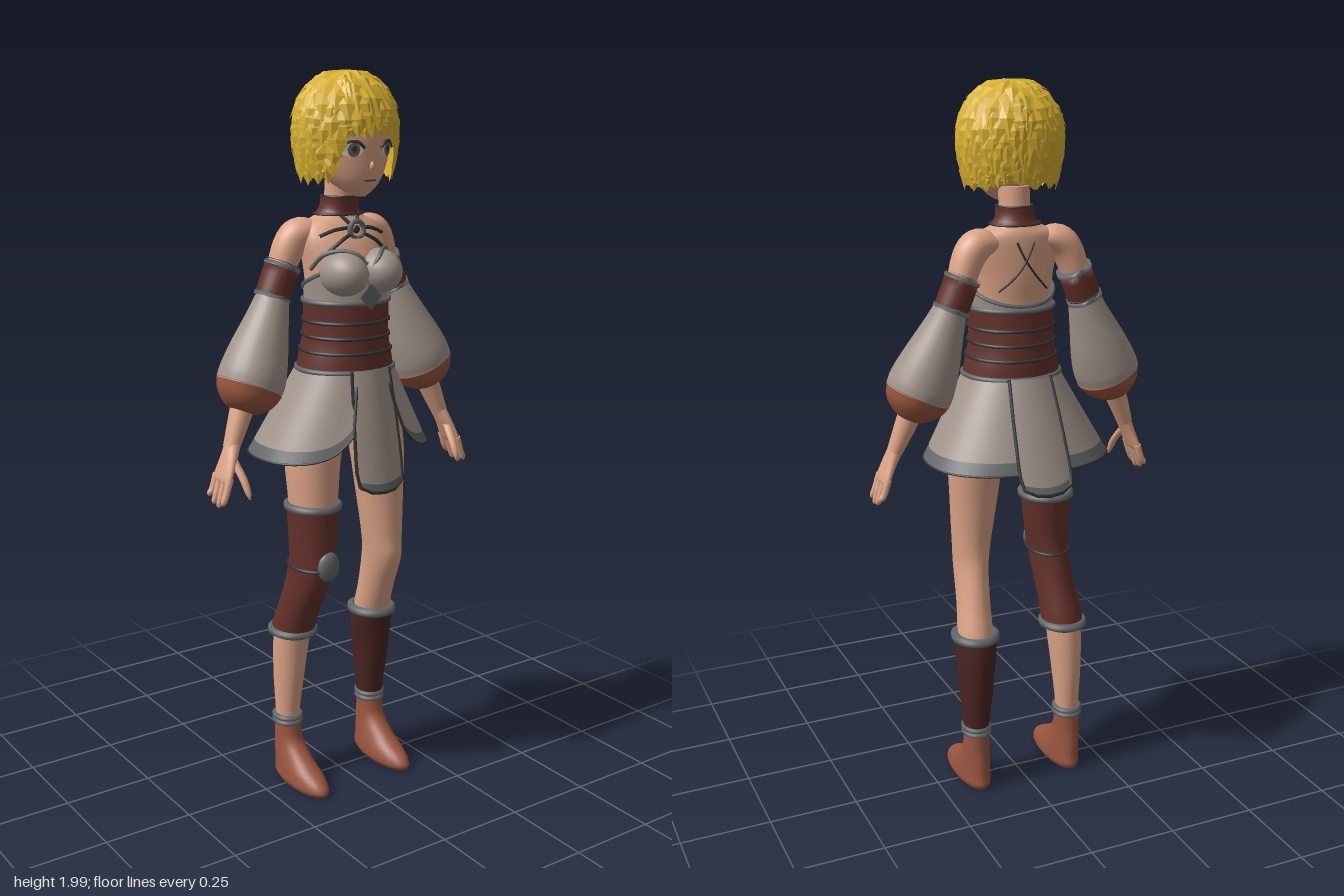
import * as THREE from 'three';
import { ParametricGeometry } from 'three/addons/geometries/ParametricGeometry.js';

const mat = (name, color, flatShading = false) =>
  new THREE.MeshStandardMaterial({ name, color, flatShading, side: THREE.DoubleSide });
const M = {
  skin: mat('skin', 0xdca386), cloth: mat('taupe cloth', 0xa0938a), hair: mat('golden hair', 0xd8b030, true),
  leather: mat('brown leather', 0x63312a), boot: mat('dark boot leather', 0x4a2522), shoe: mat('tan leather', 0x9a5640),
  trim: mat('grey trim', 0x65686a), line: mat('dark edging', 0x353334), white: mat('eye white', 0xd2c6c4), iris: mat('iris', 0x6a5750),
};
const V = (x, y, z) => new THREE.Vector3(x, y, z);

// Sections are [x, y, z, radiusX, radiusZ]; returns a smooth interpolator over t = 0..1.
function smooth(secs) {
  const c = new THREE.CatmullRomCurve3(secs.map(s => V(s[0], s[1], s[2])), false, 'catmullrom');
  const r = new THREE.CatmullRomCurve3(secs.map(s => V(s[3], s[4], 0)), false, 'catmullrom');
  return t => { const p = c.getPoint(t), q = r.getPoint(t); return [p.x, p.y, p.z, q.x, q.y]; };
}
function at(secs, y) {
  const f = smooth(secs);
  let best = f(0);
  for (let i = 1; i <= 160; i++) { const s = f(i / 160); if (Math.abs(s[1] - y) < Math.abs(best[1] - y)) best = s; }
  return best;
}
// Point on the front (sign 1) or back (sign -1) of a lofted body.
function onBody(secs, x, y, sign = 1, lift = 0.004) {
  const s = at(secs, y), k = (x - s[0]) / s[3];
  return V(x, y, s[2] + sign * (s[4] * Math.sqrt(Math.max(0, 1 - k * k)) + lift));
}
const shell = (secs, y0, y1, p0, p1, n = 6) => Array.from({ length: n }, (_, i) => {
  const t = i / (n - 1), s = at(secs, y0 + (y1 - y0) * t), p = p0 + (p1 - p0) * t;
  return [s[0], y0 + (y1 - y0) * t, s[2], s[3] + p, s[4] + p];
});

export function createModel() {
  const root = new THREE.Group();
  root.name = 'character';
  const add = (name, m, geo) => {
    const mesh = new THREE.Mesh(geo, m);
    mesh.name = name;
    root.add(mesh);
    return mesh;
  };
  const tube = (name, m, pts, r, closed = false) =>
    add(name, m, new THREE.TubeGeometry(new THREE.CatmullRomCurve3(pts, closed), closed ? 40 : 20, r, 6, closed));
  const sheet = (name, m, fn, nu, nv) => {
    const g = new ParametricGeometry((u, v, t) => t.copy(fn(u, v)), nu, nv);
    g.computeVertexNormals();
    return add(name, m, g);
  };
  // Elliptical loft with flat caps; tilt turns the rings across the path.
  const loft = (name, m, secs, { tilt = false, steps = 24, n = 28 } = {}) => {
    const f = smooth(secs), pos = [], idx = [];
    for (let i = 0; i <= steps; i++) {
      const s = f(i / steps), a = f(Math.max(0, i / steps - 0.01)), b = f(Math.min(1, i / steps + 0.01));
      const t = V(b[0] - a[0], b[1] - a[1], b[2] - a[2]);
      if (!tilt) t.set(0, Math.sign(t.y) || 1, 0);
      t.normalize();
      const u = V(t.y, -t.x, 0).normalize(), w = u.clone().cross(t);
      for (let j = 0; j < n; j++) {
        const q = j / n * Math.PI * 2;
        pos.push(...V(s[0], s[1], s[2]).addScaledVector(u, s[3] * Math.cos(q)).addScaledVector(w, s[4] * Math.sin(q)).toArray());
        if (i < steps) {
          const A = i * n + j, B = i * n + (j + 1) % n;
          idx.push(A, A + n, B, B, A + n, B + n);
        }
      }
    }
    for (const end of [0, 1]) {
      const base = pos.length / 3, from = end * steps * n * 3;
      pos.push(...pos.slice(from, from + n * 3), ...f(end).slice(0, 3));
      for (let j = 0; j < n; j++) {
        const A = base + j, B = base + (j + 1) % n;
        idx.push(...(end ? [base + n, B, A] : [base + n, A, B]));
      }
    }
    const g = new THREE.BufferGeometry();
    g.setAttribute('position', new THREE.Float32BufferAttribute(pos, 3));
    g.setIndex(idx);
    g.computeVertexNormals();
    return add(name, m, g);
  };
  const ring = (name, m, secs, y, pad, r) => {
    const s = at(secs, y);
    return tube(name, m, Array.from({ length: 16 }, (_, i) => {
      const a = i / 8 * Math.PI;
      return V(s[0] + (s[3] + pad) * Math.cos(a), y, s[2] + (s[4] + pad) * Math.sin(a));
    }), r, true);
  };
  const ball = (name, m, p, r) => {
    const mesh = add(name, m, new THREE.SphereGeometry(1, 24, 16));
    mesh.position.set(...p);
    mesh.scale.set(...r);
    return mesh;
  };

  // Torso, bodice and corset
  const torso = [[0, 1.1, 0.03, 0.13, 0.1], [0, 1.2, 0.03, 0.128, 0.115], [0, 1.3, 0.032, 0.108, 0.108], [0, 1.4, 0.035, 0.11, 0.1],
    [0, 1.48, 0.028, 0.115, 0.097], [0, 1.55, 0.015, 0.125, 0.083], [0, 1.595, 0.002, 0.115, 0.066],
    [0, 1.62, 0, 0.065, 0.052], [0, 1.65, 0.005, 0.043, 0.044], [0, 1.72, 0.012, 0.042, 0.044]];
  loft('torso', M.skin, torso, { steps: 40 });
  loft('underwear', M.cloth, [[0, 1.03, 0.03, 0.05, 0.06], [0, 1.08, 0.03, 0.13, 0.1], [0, 1.2, 0.03, 0.13, 0.116]]);
  const bodiceTop = a => 1.455 + 0.045 * Math.cos(a);
  const bodice = (u, v) => {
    const a = u * Math.PI * 2, y = 1.385 + (bodiceTop(a) - 1.385) * v, s = at(torso, y);
    return V((s[3] + 0.006) * Math.sin(a), y, s[2] + (s[4] + 0.006) * Math.cos(a));
  };
  sheet('bodice', M.cloth, bodice, 32, 6);
  tube('bodice edge', M.trim, Array.from({ length: 24 }, (_, i) => bodice(i / 24, 1)), 0.006, true);
  loft('corset', M.leather, shell(torso, 1.21, 1.4, 0.01, 0.009));
  for (const y of [1.265, 1.305, 1.345]) ring('corset strap', M.line, torso, y, 0.01, 0.005);
  for (const y of [1.215, 1.398]) ring('corset rim', M.trim, torso, y, 0.009, 0.007);
  const plate = add('bodice ornament', M.trim, new THREE.CircleGeometry(0.035, 4));
  plate.position.set(0, 1.415, 0.152);
  loft('collar', M.leather, shell(torso, 1.622, 1.668, 0.006, 0.01));
  for (const y of [1.622, 1.668]) ring('collar rim', M.line, torso, y, 0.008, 0.003);
  const brooch = add('brooch', M.trim, new THREE.TorusGeometry(0.022, 0.007, 8, 20));
  brooch.position.set(0, 1.585, 0.085);
  ball('brooch stone', M.line, [0, 1.585, 0.083], [0.011, 0.011, 0.006]);

  // Head and face
  const head = [[0, 1.672, 0.1, 0.012, 0.015], [0, 1.69, 0.085, 0.044, 0.045], [0, 1.72, 0.066, 0.074, 0.08], [0, 1.77, 0.05, 0.1, 0.103],
    [0, 1.83, 0.042, 0.115, 0.113], [0, 1.9, 0.036, 0.108, 0.11], [0, 1.955, 0.034, 0.07, 0.075], [0, 1.975, 0.034, 0.01, 0.01]];
  loft('head', M.skin, head, { steps: 40, n: 40 });
  ball('nose', M.skin, [0, 1.752, 0.147], [0.007, 0.013, 0.012]);
  tube('mouth', M.leather, [-0.018, 0, 0.018].map(x => onBody(head, x, 1.715, 1, 0)), 0.0025);
  const facePatch = (name, m, cx, cy, rx, ry, lift) => {
    const g = new THREE.CircleGeometry(1, 20), p = g.attributes.position;
    for (let i = 0; i < p.count; i++) {
      const q = onBody(head, cx + rx * p.getX(i), cy + ry * p.getY(i), 1, lift);
      p.setXYZ(i, q.x, q.y, q.z);
    }
    g.computeVertexNormals();
    add(name, m, g);
  };

  for (const s of [1, -1]) {
    const side = s > 0 ? 'left ' : 'right ';
    const put = secs => secs.map(([x, ...r]) => [s * x, ...r]);

    facePatch(side + 'eye white', M.white, s * 0.054, 1.793, 0.025, 0.018, 0.003);
    facePatch(side + 'iris', M.iris, s * 0.052, 1.793, 0.014, 0.018, 0.005);
    facePatch(side + 'pupil', M.line, s * 0.052, 1.794, 0.006, 0.009, 0.007);
    tube(side + 'lash', M.line, [[0.026, 1.797], [0.042, 1.812], [0.062, 1.813], [0.083, 1.797]].map(([x, y]) => onBody(head, s * x, y)), 0.004);
    tube(side + 'eyebrow', M.hair, [[0.025, 1.833], [0.05, 1.842], [0.08, 1.834]].map(([x, y]) => onBody(head, s * x, y, 1, 0.001)), 0.003);

    // Bust, straps and back lacing
    ball(side + 'bust cup', M.cloth, [s * 0.055, 1.475, 0.102], [0.06, 0.06, 0.08]);
    tube(side + 'cup edge', M.trim, [[0.004, 1.47, 0.135], [0.028, 1.518, 0.147], [0.06, 1.535, 0.12], [0.1, 1.525, 0.08], [0.12, 1.485, 0.045]]
      .map(p => V(s * p[0], p[1], p[2])), 0.006);
    for (const path of [[[0.018, 1.575], [0.05, 1.56], [0.09, 1.53]], [[0.02, 1.59], [0.06, 1.585], [0.1, 1.57]], [[0.012, 1.6], [0.03, 1.625]]])
      tube(side + 'strap', M.line, path.map(([x, y]) => onBody(torso, s * x, y)), 0.005);
    tube(side + 'back lace', M.line, [[-0.025, 1.58], [0, 1.53], [0.03, 1.49], [0.07, 1.45]].map(([x, y]) => onBody(torso, s * x, y, -1, 0.002)), 0.003);

    // Arm, band, sleeve and hand
    loft(side + 'arm', M.skin, put([[0.075, 1.577, -0.008, 0.03, 0.045], [0.115, 1.573, -0.015, 0.043, 0.048], [0.145, 1.54, -0.02, 0.043, 0.046],
      [0.178, 1.45, -0.025, 0.036, 0.04], [0.235, 1.3, -0.015, 0.034, 0.036], [0.3, 1.15, 0, 0.033, 0.034], [0.35, 1.03, 0.012, 0.021, 0.025]]), { tilt: true });
    loft(side + 'arm band', M.leather, put([[0.165, 1.486, -0.024, 0.046, 0.049], [0.194, 1.414, -0.024, 0.046, 0.05]]), { tilt: true, steps: 4 });
    for (const [x, y] of [[0.163, 1.49], [0.195, 1.412]])
      loft(side + 'arm band rim', M.trim, put([[x - 0.003, y + 0.007, -0.024, 0.049, 0.052], [x + 0.003, y - 0.007, -0.024, 0.049, 0.052]]), { tilt: true, steps: 2 });
    loft(side + 'sleeve', M.cloth, put([[0.193, 1.42, -0.022, 0.042, 0.045], [0.215, 1.36, -0.016, 0.056, 0.06], [0.25, 1.27, -0.008, 0.08, 0.082],
      [0.272, 1.215, -0.002, 0.09, 0.092], [0.284, 1.185, 0, 0.09, 0.092]]), { tilt: true });
    loft(side + 'cuff', M.shoe, put([[0.284, 1.185, 0, 0.0905, 0.0925], [0.298, 1.155, 0.002, 0.078, 0.08], [0.308, 1.133, 0.003, 0.055, 0.058],
      [0.313, 1.122, 0.004, 0.034, 0.036]]), { tilt: true });
    loft(side + 'palm', M.skin, put([[0.345, 1.04, 0.012, 0.02, 0.025], [0.363, 1.0, 0.018, 0.017, 0.034], [0.382, 0.955, 0.02, 0.013, 0.043],
      [0.387, 0.942, 0.02, 0.006, 0.038]]), { tilt: true });
    [-0.015, 0.009, 0.033, 0.055].forEach((z, i) => {
      const y = [0.9, 0.885, 0.88, 0.89][i];
      loft(side + 'finger', M.skin, put([[0.38, 0.96, z, 0.01, 0.011], [0.393, 0.92, z * 1.02, 0.009, 0.01], [0.402, y + 0.008, z * 1.04, 0.008, 0.008],
        [0.404, y, z * 1.04, 0.002, 0.002]]), { tilt: true, steps: 8, n: 10 });
    });
    loft(side + 'thumb', M.skin, put([[0.357, 1.0, 0.035, 0.012, 0.014], [0.35, 0.96, 0.07, 0.011, 0.012], [0.347, 0.925, 0.09, 0.008, 0.009],
      [0.346, 0.908, 0.097, 0.002, 0.002]]), { steps: 10, n: 12 });

    // Leg and foot
    const leg = put([[0.08, 1.1, 0.03, 0.08, 0.09], [0.106, 0.98, 0.032, 0.077, 0.08], [0.112, 0.85, 0.04, 0.066, 0.072], [0.118, 0.72, 0.045, 0.053, 0.067],
      [0.122, 0.65, 0.04, 0.047, 0.07], [0.13, 0.55, 0.004, 0.046, 0.06], [0.138, 0.45, -0.03, 0.05, 0.056], [0.143, 0.32, -0.042, 0.042, 0.05],
      [0.145, 0.2, -0.047, 0.033, 0.038], [0.145, 0.13, -0.047, 0.033, 0.038]]);
    loft(side + 'leg', M.skin, leg, { steps: 40 });
    loft(side + 'shoe', M.shoe, put([[0.143, 0, 0.022, 0.04, 0.113], [0.143, 0.015, 0.022, 0.047, 0.123], [0.143, 0.04, 0.012, 0.046, 0.11],
      [0.144, 0.075, -0.018, 0.041, 0.078], [0.145, 0.12, -0.042, 0.037, 0.049], [0.145, 0.175, -0.047, 0.036, 0.041]]));
    ring(side + 'ankle ring', M.trim, leg, 0.19, 0.002, 0.009);
    ring(side + 'ankle ring', M.trim, leg, 0.175, 0.002, 0.009);
    if (s > 0) {
      loft('boot shaft', M.boot, shell(leg, 0.19, 0.465, 0.004, 0.01));
      ring('boot rim', M.trim, leg, 0.465, 0.006, 0.014);
    } else {
      loft('thigh stocking', M.leather, shell(leg, 0.46, 0.845, 0.01, 0.006, 10));
      ring('stocking lower rim', M.trim, leg, 0.46, 0.007, 0.013);
      ring('stocking upper rim', M.trim, leg, 0.84, 0.003, 0.012);
      ring('knee strap', M.line, leg, 0.67, 0.009, 0.005);
      ball('knee pad', M.trim, [-0.112, 0.68, 0.115], [0.034, 0.043, 0.02]);
    }

    // Skirt half with a curved hem
    const skirt = (u, v) => {
      const a = 0.28 + u * (Math.PI - 0.5), c = Math.cos(a);
      const drop = 0.235 - 0.075 * Math.exp(-u / 0.08);
      return V(s * (0.13 + 0.13 * v) * Math.sin(a) ** 0.9, 1.218 - drop * v,
        0.03 - 0.03 * v + (0.125 + 0.072 * v) * Math.sign(c) * Math.abs(c) ** 0.9);
    };
    sheet(side + 'skirt', M.cloth, (u, v) => skirt(u, v * 0.86), 36, 8);
    sheet(side + 'skirt hem', M.trim, (u, v) => skirt(u, 0.86 + v * 0.14), 36, 2);
    tube(side + 'hem edge', M.line, Array.from({ length: 20 }, (_, i) => skirt(i / 19, 1)), 0.003);
    tube(side + 'slit edge', M.line, [0, 0.5, 1].map(v => skirt(0, v)), 0.004);
  }

  // Front and back flaps
  for (const [name, sign, z0, z1, y1] of [['front flap', 1, 0.162, 0.215, 0.9], ['back flap', -1, 0.105, 0.225, 0.93]]) {
    const flap = (u, v) => {
      const k = u * 2 - 1;
      return V(k * (0.06 + 0.011 * Math.sin(v * 2.2)), 1.222 + (y1 - 1.222) * v + 0.012 * k * k * v, sign * (z0 + (z1 - z0) * v + 0.006 - 0.018 * k * k));
    };
    sheet(name, M.cloth, (u, v) => flap(u, v * 0.93), 12, 10);
    sheet(name + ' hem', M.trim, (u, v) => flap(u, 0.93 + v * 0.07), 12, 2);
    const edge = [[0, 0], [0, 0.5], [0, 0.97], [0.1, 1], [0.5, 1], [0.9, 1], [1, 0.97], [1, 0.5], [1, 0]];
    tube(name + ' edge', M.line, edge.map(([u, v]) => flap(u, v)), 0.005);
  }

  // Hair: an under-cap with overlapping pointed locks
  let seed = 7;
  const rnd = () => (seed = seed * 16807 % 2147483647) / 2147483647;
  const hairAt = (az, t, lift = 1) => {
    const h = t < 1 ? 0.14 * Math.cos(t * Math.PI / 2) * lift : -(t - 1) * 0.16;
    const r = (t < 1 ? Math.sin(t * Math.PI / 2) : 1 - 0.2 * (t - 1) ** 2) * lift;
    return V(0.138 * r * Math.sin(az), 1.85 + h, 0.032 + 0.128 * r * Math.cos(az));
  };
  const hairEnd = az => {
    const a = Math.abs(Math.atan2(Math.sin(az), Math.cos(az)));
    return a > 2.2 ? 1.72 : 1.08 + 0.72 * THREE.MathUtils.smoothstep(a, 0.45, 1.05);
  };
  sheet('hair cap', M.hair, (u, v) => hairAt(u * Math.PI * 2, v * hairEnd(u * Math.PI * 2)), 48, 16);
  const locks = [];
  for (let t0 = 0.04; t0 < 1.75; t0 += 0.13) {
    const count = Math.round(6 + 20 * Math.sin(Math.min(1, t0) * Math.PI / 2));
    for (let i = 0; i < count; i++) {
      const az = (i + rnd()) / count * Math.PI * 2, end = hairEnd(az);
      if (t0 > end - 0.12) continue;
      const w = 0.14 + 0.08 * rnd() + 0.12 * Math.max(0, 0.5 - t0), skew = (rnd() - 0.5) * 0.25;
      const t1 = Math.min(t0 + 0.38 + 0.15 * rnd(), end + 0.14 * rnd()), tm = (t0 + t1) / 2, up = 1.04 + 0.045 * rnd();
      const L = hairAt(az - w * 0.7, t0, 1), R = hairAt(az + w * 0.7, t0, 1), C = hairAt(az + skew / 2, tm, 1.065);
      const ml = hairAt(az - w + skew / 2, tm, 1.02), mr = hairAt(az + w + skew / 2, tm, 1.02), tip = hairAt(az + skew, t1, up);
      for (const p of [L, C, R, L, ml, C, R, C, mr, ml, tip, C, C, tip, mr]) locks.push(p.x, p.y, p.z);
    }
  }
  const g = new THREE.BufferGeometry();
  g.setAttribute('position', new THREE.Float32BufferAttribute(locks, 3));
  g.computeVertexNormals();
  add('hair locks', M.hair, g);
  return root;
}
